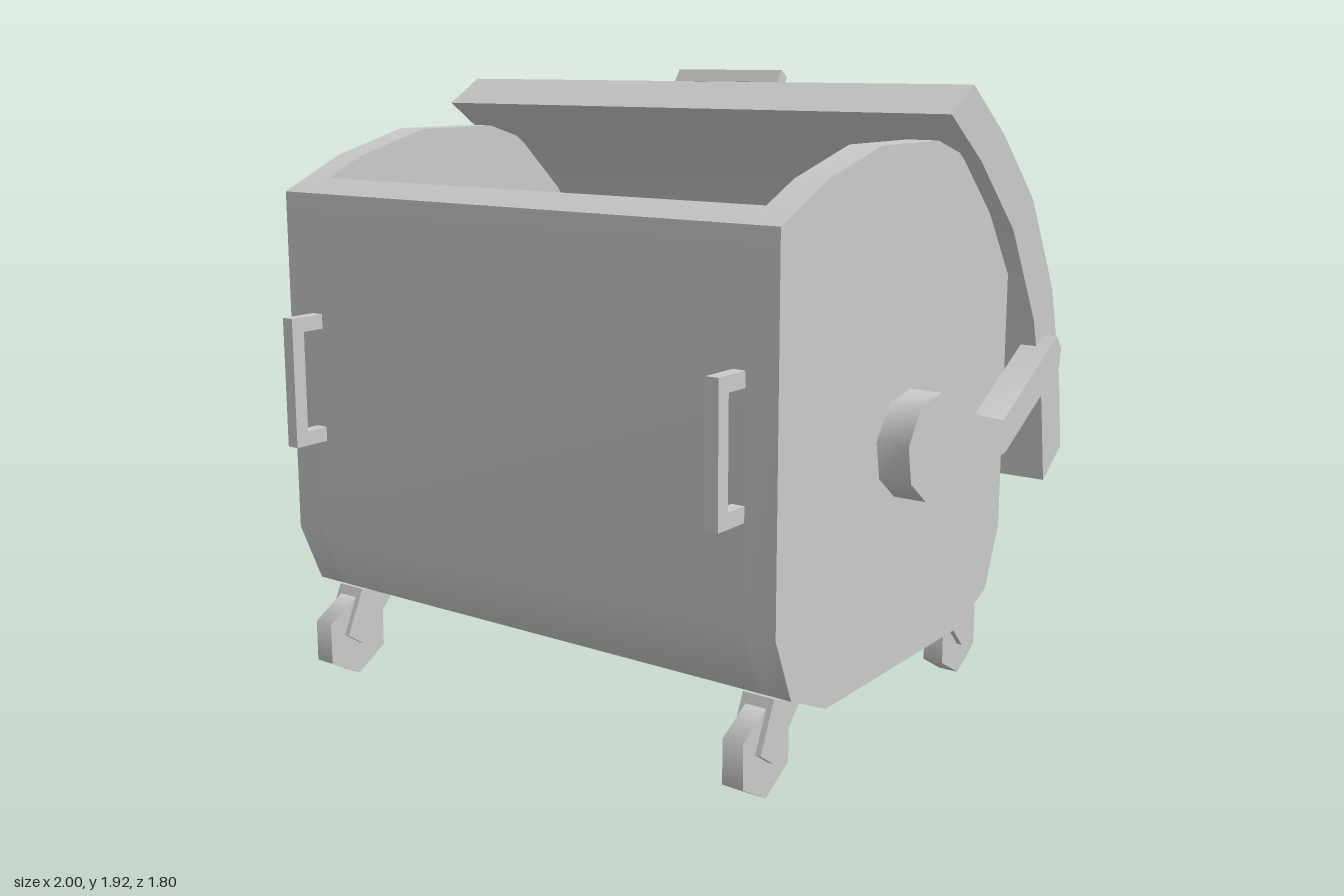
import * as THREE from 'three';
import { toCreasedNormals } from 'three/addons/utils/BufferGeometryUtils.js';

const grey = new THREE.MeshStandardMaterial({ color: 0xcccccc });

function mesh(name, geometry) {
  const m = new THREE.Mesh(geometry, grey);
  m.name = name;
  return m;
}

function extrude(points, depth) {
  const shape = new THREE.Shape(points.map(([x, y]) => new THREE.Vector2(x, y)));
  return new THREE.ExtrudeGeometry(shape, { depth, bevelEnabled: false });
}

// Side profile of [z, y] points, swept across the width from x0 to x1.
function sweepX(points, x0, x1, crease = 0.9) {
  const g = extrude(points, x1 - x0);
  g.rotateY(-Math.PI / 2).translate(x1, 0, 0);
  return toCreasedNormals(g, crease);
}

// U-shaped pull: 0.4 long in x, standing up in y, 0.04 thick in z.
function pullHandle(name, height) {
  const g = extrude([
    [-0.2, 0], [-0.155, 0], [-0.155, height - 0.045], [0.155, height - 0.045],
    [0.155, 0], [0.2, 0], [0.2, height], [-0.2, height],
  ], 0.04);
  return mesh(name, g.translate(0, 0, -0.02));
}

// Caster with a six-sided wheel, leaning toward +z.
function caster() {
  const group = new THREE.Group();
  group.name = 'caster';
  const wheel = new THREE.CylinderGeometry(0.13, 0.13, 0.066, 6);
  wheel.rotateY(Math.PI / 6).rotateZ(Math.PI / 2).translate(0, 0.13, 0.69);
  group.add(mesh('wheel', wheel));
  const prong = [[0.68, 0.285], [0.55, 0.235], [0.68, 0.1], [0.745, 0.145]];
  for (const x of [-0.05, 0.033]) {
    group.add(mesh('forkProng', sweepX(prong, x, x + 0.017)));
  }
  const bridge = [[0.68, 0.285], [0.55, 0.235], [0.58, 0.205], [0.695, 0.255]];
  group.add(mesh('forkBridge', sweepX(bridge, -0.033, 0.033)));
  return group;
}

export function createModel() {
  const model = new THREE.Group();
  model.name = 'wheeledContainer';

  // Tub: outer wall from the front rim, under the floor, to the back rim
  const outer = [
    [0.78, 1.56], [0.78, 0.49], [0.7, 0.3], [0.52, 0.22],
    [-0.29, 0.22], [-0.47, 0.3], [-0.55, 0.49], [-0.55, 1.3],
  ];
  const inner = [
    [-0.46, 1.42], [-0.46, 0.52], [-0.4, 0.37], [-0.27, 0.31],
    [0.5, 0.31], [0.63, 0.37], [0.69, 0.52], [0.69, 1.6],
  ];
  model.add(mesh('tub', sweepX([...outer, ...inner], -0.8, 0.8)));

  // End walls with rounded tops
  const endProfile = [
    ...outer, [-0.39, 1.52], [-0.2, 1.69], [-0.05, 1.735], [0.28, 1.735], [0.56, 1.66],
  ];
  model.add(mesh('leftEndWall', sweepX(endProfile, 0.8, 0.9)));
  model.add(mesh('rightEndWall', sweepX(endProfile, -0.9, -0.8)));

  // Curved lid, swung open to the back
  model.add(mesh('lid', sweepX([
    [-0.02, 1.81], [-0.22, 1.67], [-0.46, 1.45], [-0.64, 1.15], [-0.73, 0.86], [-0.77, 0.6],
    [-0.9, 0.69], [-0.865, 0.93], [-0.775, 1.235], [-0.595, 1.535], [-0.37, 1.74], [-0.155, 1.89],
  ], -0.953, 0.953)));

  const lidHandle = pullHandle('lidHandle', 0.14);
  lidHandle.position.set(0, 1.798, -0.261);
  lidHandle.rotation.x = -0.6;
  model.add(lidHandle);

  // Pivot arms carrying the lid
  const arm = [
    [0.27, 0.92], [0.2, 1.02], [0.08, 1.04], [-0.02, 0.97], [-0.34, 0.885], [-0.72, 1.09],
    [-0.757, 1.045], [-0.75, 0.99], [-0.36, 0.78], [0, 0.76], [0.16, 0.74], [0.25, 0.81],
  ];
  model.add(mesh('leftLidArm', sweepX(arm, 0.9, 1)));
  model.add(mesh('rightLidArm', sweepX(arm, -1, -0.9)));

  for (const side of [-1, 1]) {
    // Upright handles on the front
    const handle = pullHandle('frontHandle', 0.12);
    handle.geometry.rotateZ(Math.PI / 2).rotateY(Math.PI / 2);
    handle.position.set(side * 0.78, 0.99, 0.78);
    if (handle.geometry.boundingBox === null) handle.geometry.computeBoundingBox();
    if (handle.geometry.boundingBox.max.z < 0.06) handle.rotation.y = Math.PI;
    model.add(handle);

    // Front and back casters
    const front = caster();
    front.position.x = side * 0.785;
    const back = caster();
    back.rotation.y = Math.PI;
    back.position.set(side * 0.785, 0, 0.23);
    model.add(front, back);
  }
  return model;
}
